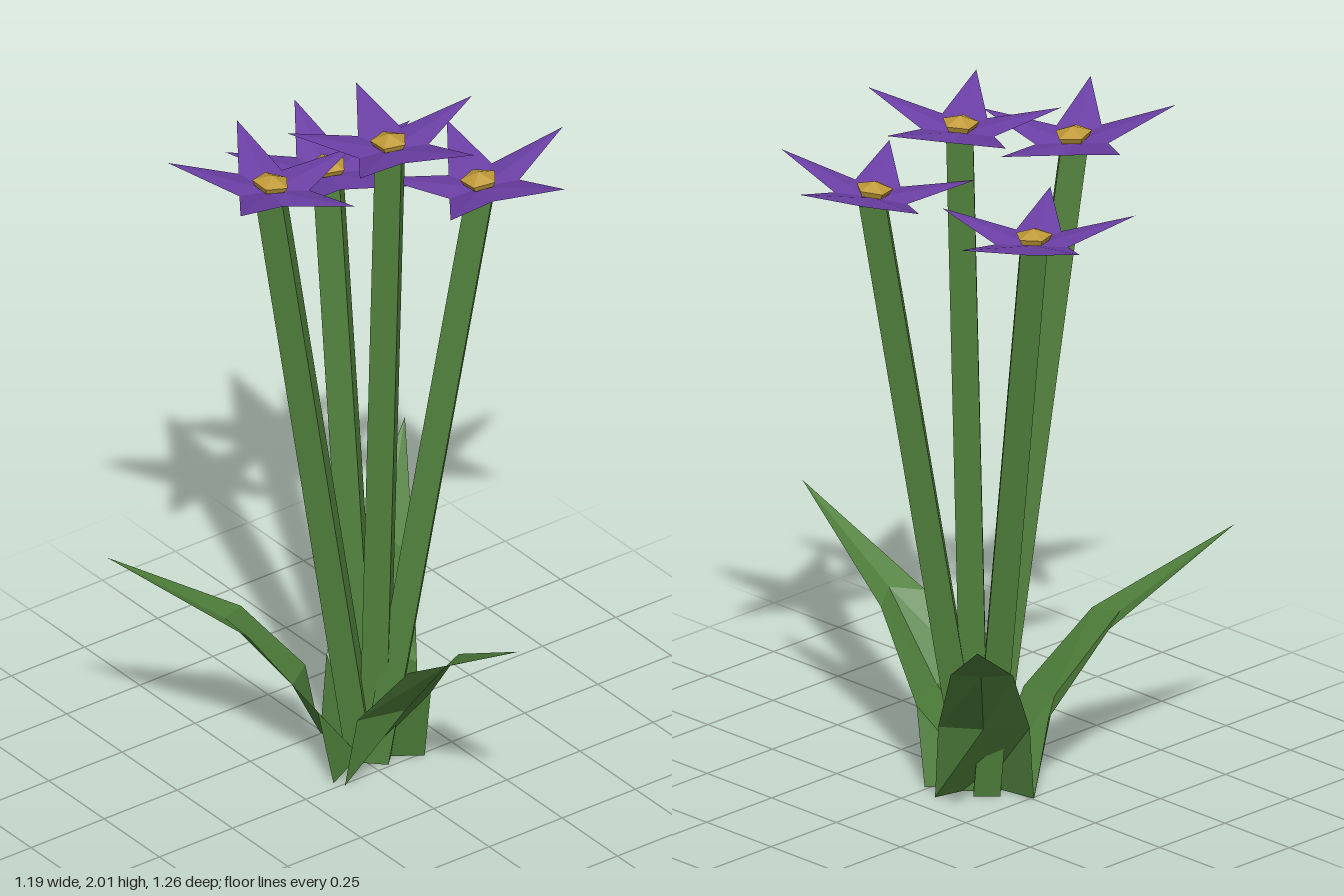
import * as THREE from 'three';

const material = (name, color) => {
  const m = new THREE.MeshStandardMaterial({ color, flatShading: true, side: THREE.DoubleSide });
  m.name = name;
  return m;
};

// Flat-shaded geometry from a list of corner triples
function facets(triangles) {
  const g = new THREE.BufferGeometry();
  g.setAttribute('position', new THREE.Float32BufferAttribute(triangles.flat(2), 3));
  g.computeVertexNormals();
  return g;
}

// Square stalk sheared so that both ends stay level
function stemGeometry(base, top, height) {
  const g = new THREE.CylinderGeometry(0.052, 0.052, height, 4).translate(0, height / 2, 0);
  const p = g.attributes.position;
  for (let i = 0; i < p.count; i++) {
    const t = p.getY(i) / height;
    p.setX(i, p.getX(i) + base[0] + (top[0] - base[0]) * t);
    p.setZ(i, p.getZ(i) + base[1] + (top[1] - base[1]) * t);
  }
  const flat = g.toNonIndexed();
  flat.computeVertexNormals();
  return flat;
}

// Shallow five-pointed star dish, tilted by the slopes sx and sz
function starGeometry(sx, sz) {
  const rim = (i) => {
    const tip = i % 2 === 0;
    const r = tip ? 0.281 : 0.106;
    const x = r * Math.cos(i * Math.PI / 5), z = -r * Math.sin(i * Math.PI / 5);
    return [x, (tip ? 0.066 : 0.012) + sx * x + sz * z, z];
  };
  const triangles = [];
  for (let i = 0; i < 10; i++) triangles.push([[0, 0, 0], rim(i), rim(i + 1)]);
  return facets(triangles);
}

// Bent, keeled blade running out from the clump centre to its tip
function leafGeometry(tip) {
  const centre = [0.015, -0.09];
  const dx = tip[0] - centre[0], dz = tip[2] - centre[1];
  const length = Math.hypot(dx, dz), ux = dx / length, uz = dz / length;
  const point = (r, y, w) => [centre[0] + ux * r - uz * w, y, centre[1] + uz * r + ux * w];
  // edge distance, edge height, half width, keel distance, keel height
  const sections = [
    [0.1, 0, 0.135, 0.01, 0],
    [0.142, 0.225, 0.125, 0.195, 0.24],
    [0.325, 0.453, 0.085, 0.38, 0.47],
  ].map(([r, y, w, kr, ky]) => [point(r, y, w), point(kr, ky, 0), point(r, y, -w)]);
  const triangles = [];
  for (let half = 0; half < 2; half++) {
    for (let i = 0; i < 2; i++) {
      const [a, b] = sections[i].slice(half), [d, c] = sections[i + 1].slice(half);
      triangles.push([a, b, c], [a, c, d]);
    }
    const [a, b] = sections[2].slice(half);
    triangles.push([a, b, tip]);
  }
  return facets(triangles);
}

export function createModel() {
  const group = new THREE.Group();
  group.name = 'flowerClump';
  const green = material('leaf green', 0x4f7f3b);
  const purple = material('petal purple', 0x6b3fa5);
  const yellow = material('centre yellow', 0xc09a38);

  const add = (parent, name, geometry, mat) => {
    const mesh = new THREE.Mesh(geometry, mat);
    mesh.name = name;
    parent.add(mesh);
    return mesh;
  };

  // Flowers: stem foot, stem top, stem height, star tilt
  const flowers = [
    { foot: [0.05, -0.13], top: [0.105, -0.367], height: 1.68, tilt: [0, -0.03] },
    { foot: [0.016, -0.1], top: [-0.23, -0.185], height: 1.835, tilt: [-0.1, -0.03] },
    { foot: [0.045, -0.08], top: [0.08, -0.055], height: 1.917, tilt: [0.01, 0.05] },
    { foot: [0.04, -0.06], top: [0.313, 0.047], height: 1.76, tilt: [0.085, 0.07] },
  ];
  const bud = [[0.044, 0.013], [0.053, 0.03], [0, 0.05]].map(([x, y]) => new THREE.Vector2(x, y));
  for (const { foot, top, height, tilt } of flowers) {
    add(group, 'stem', stemGeometry(foot, top, height), green);
    const flower = new THREE.Group();
    flower.name = 'flower';
    flower.position.set(top[0], height + 0.012, top[1]);
    add(flower, 'petals', starGeometry(...tilt), purple);
    const centre = add(flower, 'flowerCentre', new THREE.LatheGeometry(bud, 5, Math.PI / 2), yellow);
    centre.rotation.set(-tilt[1], 0, tilt[0]);
    group.add(flower);
  }

  // Leaves, given by their tips
  for (const tip of [[0.005, 0.685, 0.63], [-0.6, 0.69, -0.435], [0.517, 0.665, -0.565]]) {
    add(group, 'leaf', leafGeometry(tip), green);
  }
  return group;
}
